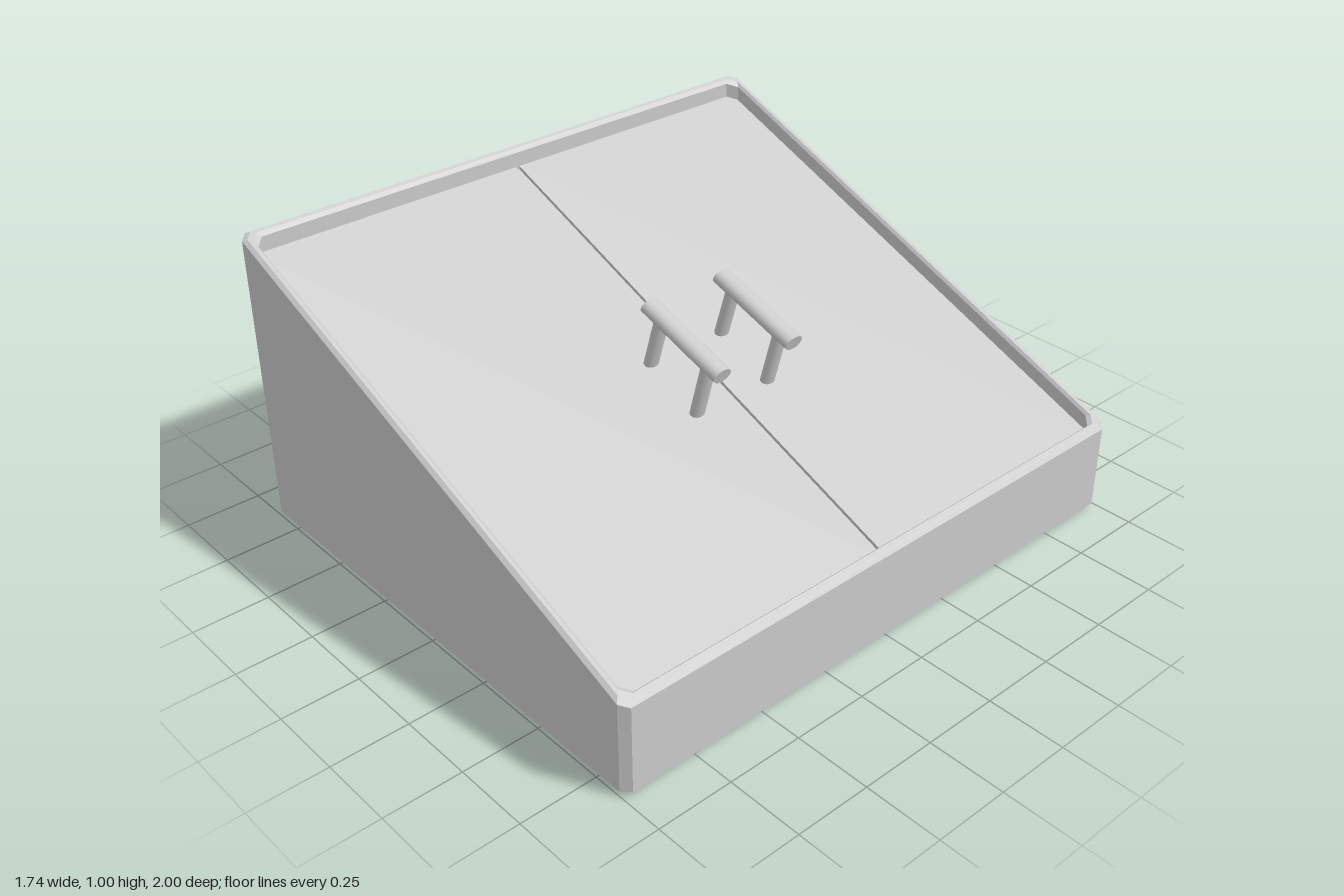
import * as THREE from 'three';

const HX = 0.87, HZ = 1, RECESS = 0.058;
// Height of the sloping rim plane at a given x
const slope = (x) => 1.0 - 0.397 * (x + 0.865);

// Rectangle with cut corners, inset from the outer wall, lifted by a height rule
function ring(inset, cut, height) {
  const a = HX - inset, b = HZ - inset, c = cut;
  return [[a, b - c], [a, -b + c], [a - c, -b], [-a + c, -b], [-a, -b + c], [-a, b - c], [-a + c, b], [a - c, b]]
    .map(([x, z]) => new THREE.Vector3(x, height(x), z));
}

// Skin stacked rings and close the first and last
function loft(rings) {
  const pos = [];
  const tri = (...p) => p.forEach((v) => pos.push(v.x, v.y, v.z));
  for (let r = 0; r + 1 < rings.length; r++) {
    for (let i = 0; i < 8; i++) {
      const j = (i + 1) % 8, A = rings[r], B = rings[r + 1];
      tri(A[i], A[j], B[j]);
      tri(A[i], B[j], B[i]);
    }
  }
  const first = rings[0], last = rings[rings.length - 1];
  for (let i = 1; i < 7; i++) {
    tri(first[0], first[i + 1], first[i]);
    tri(last[0], last[i], last[i + 1]);
  }
  const g = new THREE.BufferGeometry();
  g.setAttribute('position', new THREE.Float32BufferAttribute(pos, 3));
  g.computeVertexNormals();
  return g;
}

export function createModel() {
  const group = new THREE.Group();
  const mat = new THREE.MeshStandardMaterial({ color: 0xcccccc });
  const add = (name, geometry, parent = group) => {
    const m = new THREE.Mesh(geometry, mat);
    m.name = name;
    parent.add(m);
    return m;
  };

  // Wedge-shaped base with bevelled edges, raised rim and sunken top
  add('base', loft([
    ring(0.015, 0.02, () => 0),
    ring(0, 0.025, () => 0.017),
    ring(0, 0.025, (x) => slope(x) - 0.011),
    ring(0.012, 0.025, slope),
    ring(0.024, 0.025, slope),
    ring(0.032, 0.03, (x) => slope(x) - 0.01),
    ring(0.032, 0.03, (x) => slope(x) - RECESS - 0.012),
  ]));

  // Pair of door panels with a narrow gap between them
  const x0 = -0.837, x1 = 0.837, t = 0.02;
  for (const s of [1, -1]) {
    const side = s > 0 ? 'front' : 'rear';
    const z0 = 0.007, z1 = 0.967;
    const door = new THREE.BoxGeometry(x1 - x0, t, z1 - z0);
    door.translate(0, -t / 2, s * (z0 + z1) / 2);
    const p = door.attributes.position;
    for (let i = 0; i < p.count; i++) p.setY(i, p.getY(i) + slope(p.getX(i)) - RECESS);
    door.computeVertexNormals();
    add(side + 'Door', door);

    // Handle: a flattened bar on two legs
    const handle = new THREE.Group();
    handle.name = side + 'Handle';
    handle.position.z = s * 0.145;
    group.add(handle);
    const rod = (name, a, b, r, rz) => {
      const d = new THREE.Vector2(b[0] - a[0], b[1] - a[1]);
      const m = add(name, new THREE.CylinderGeometry(r, r, d.length(), 20), handle);
      m.scale.z = rz / r;
      m.position.set((a[0] + b[0]) / 2, (a[1] + b[1]) / 2, 0);
      m.rotation.z = d.angle() - Math.PI / 2;
    };
    rod('bar', [-0.012, 0.795], [0.308, 0.69], 0.025, 0.033);
    rod('upperLeg', [-0.012, 0.58], [0.046, 0.772], 0.019, 0.027);
    rod('lowerLeg', [0.196, 0.5], [0.25, 0.7], 0.019, 0.027);
  }
  return group;
}
